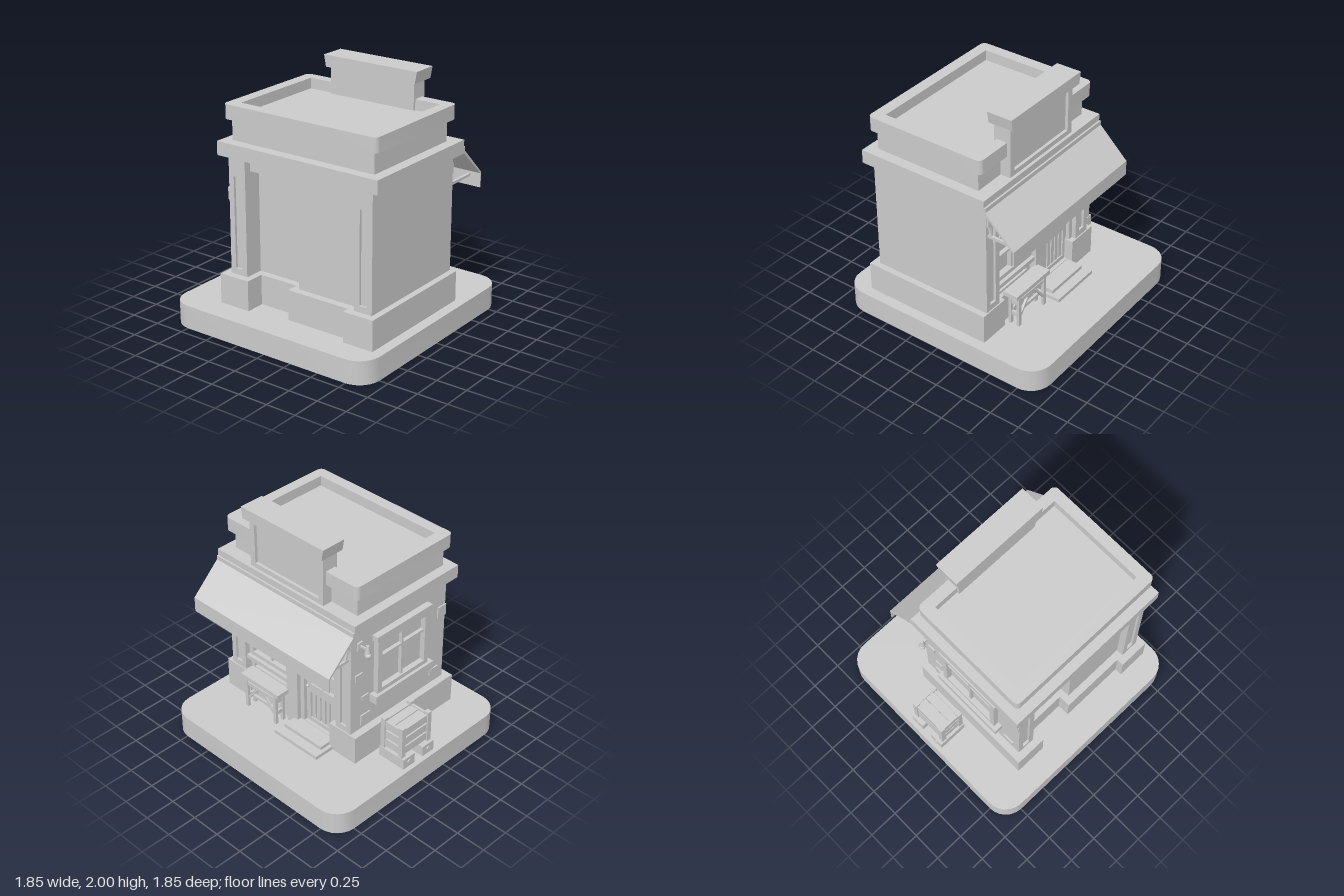
import * as THREE from 'three';
import { toCreasedNormals } from 'three/addons/utils/BufferGeometryUtils.js';

const mat = new THREE.MeshStandardMaterial({ color: 0xcccccc });
const thinMat = new THREE.MeshStandardMaterial({ color: 0xcccccc, side: THREE.DoubleSide });

export function createModel() {
  const root = new THREE.Group();
  root.name = 'cornerShop';

  const add = (name, geo, parent = root, m = mat) => {
    const mesh = new THREE.Mesh(geo, m);
    mesh.name = name;
    parent.add(mesh);
    return mesh;
  };
  const group = (name) => {
    const g = new THREE.Group();
    g.name = name;
    root.add(g);
    return g;
  };
  // Box given by its limits on each axis
  const box = (name, x0, x1, y0, y1, z0, z1, parent = root) => {
    const mesh = add(name, new THREE.BoxGeometry(x1 - x0, y1 - y0, z1 - z0), parent);
    mesh.position.set((x0 + x1) / 2, (y0 + y1) / 2, (z0 + z1) / 2);
    return mesh;
  };
  // Square bar between two points
  const bar = (name, a, b, t, parent) => {
    const p = new THREE.Vector3(...a), q = new THREE.Vector3(...b);
    const mesh = add(name, new THREE.BoxGeometry(t, t, p.distanceTo(q)), parent);
    mesh.position.copy(p).lerp(q, 0.5);
    mesh.lookAt(q);
    return mesh;
  };
  // Rectangle with optional rounded corners
  const rect = (x0, x1, y0, y1, r = 0, S = THREE.Shape) => {
    const s = new S();
    if (!r) return s.moveTo(x0, y0).lineTo(x1, y0).lineTo(x1, y1).lineTo(x0, y1).closePath();
    s.absarc(x1 - r, y0 + r, r, -Math.PI / 2, 0);
    s.absarc(x1 - r, y1 - r, r, 0, Math.PI / 2);
    s.absarc(x0 + r, y1 - r, r, Math.PI / 2, Math.PI);
    s.absarc(x0 + r, y0 + r, r, Math.PI, Math.PI * 1.5);
    return s.closePath();
  };
  // Upright frame with a rectangular opening
  const frame = (name, o, h, z0, z1, parent = root) => {
    const s = rect(...o);
    s.holes.push(rect(...h, 0, THREE.Path));
    const mesh = add(name, new THREE.ExtrudeGeometry(s, { depth: z1 - z0, bevelEnabled: false }), parent);
    mesh.position.z = z0;
    return mesh;
  };
  // Crossing glazing bars filling a rectangle
  const glazing = (x0, x1, y0, y1, cols, rows, z0, z1, parent) => {
    for (let i = 1; i < cols; i++) {
      const x = x0 + (x1 - x0) * i / cols;
      box('glazingBar', x - 0.01, x + 0.01, y0, y1, z0, z1, parent);
    }
    for (let i = 1; i < rows; i++) {
      const y = y0 + (y1 - y0) * i / rows;
      box('glazingBar', x0, x1, y - 0.01, y + 0.01, z0, z1, parent);
    }
  };

  // Rounded ground slab, hollow underneath
  let slab = new THREE.ExtrudeGeometry(rect(-0.925, 0.925, -0.925, 0.925, 0.18),
    { depth: 0.19, bevelEnabled: false, curveSegments: 3 });
  const skip = slab.groups[0].count / 2; // bottom lid comes first
  const open = new THREE.BufferGeometry();
  open.setAttribute('position', new THREE.BufferAttribute(slab.attributes.position.array.slice(skip * 3), 3));
  slab = toCreasedNormals(open, 0.7);
  add('groundSlab', slab.rotateX(-Math.PI / 2), root, thinMat);

  // Walls
  box('wallCore', -0.52, 0.79, 0.19, 1.38, -0.28, 0.5);
  box('backWall', 0.085, 0.635, 0.19, 1.38, 0.5, 0.6);
  box('backPanelHead', -0.365, 0.085, 1.27, 1.38, 0.5, 0.6);
  box('frontHead', -0.365, 0.635, 1.16, 1.38, -0.35, -0.28);

  // Corner pilasters with sunken slots and projecting plinth blocks
  for (const [x0, x1, p0, p1] of [[-0.52, -0.365, -0.58, -0.31], [0.635, 0.79, 0.58, 0.84]]) {
    const c = (x0 + x1) / 2;
    const outer = [x0, x1, 0.19, 1.38], slot = [c - 0.032, c + 0.032, 0.485, 1.225];
    box('pilaster', x0, x1, 0.19, 1.38, 0.5, 0.64);
    frame('pilasterFace', outer, slot, 0.64, 0.66);
    box('pilaster', x0, x1, 0.19, 1.38, -0.355, -0.28);
    frame('pilasterFace', outer, slot, -0.375, -0.355);
    box('plinthBlock', p0, p1, 0.19, 0.435, 0.45, 0.72);
    box('plinthBlock', p0, p1, 0.19, 0.435, -0.385, -0.22);
  }
  box('plinthSide', -0.58, -0.5, 0.19, 0.435, -0.3, 0.5);
  box('plinthSide', 0.77, 0.84, 0.19, 0.435, -0.3, 0.5);
  box('plinthBack', 0.03, 0.58, 0.19, 0.435, 0.5, 0.66);
  box('plinthBackRecess', -0.31, 0.03, 0.19, 0.435, 0.48, 0.56);
  box('plinthUnderWindow', 0.08, 0.58, 0.19, 0.435, -0.35, -0.28);

  // Cornice, attic and parapet
  box('cornice', -0.59, 0.86, 1.38, 1.49, -0.41, 0.705);
  box('awningRail', -0.59, 0.86, 1.38, 1.435, -0.425, -0.4);
  box('attic', -0.51, 0.775, 1.49, 1.69, -0.3, 0.62);
  const ring = rect(-0.555, 0.82, -0.665, 0.355, 0.04);
  ring.holes.push(rect(-0.46, 0.73, -0.57, 0.265, 0, THREE.Path));
  const parapet = add('parapet', toCreasedNormals(new THREE.ExtrudeGeometry(ring,
    { depth: 0.115, bevelEnabled: false, curveSegments: 4 }), 0.6));
  parapet.rotation.x = -Math.PI / 2;
  parapet.position.y = 1.66;

  // Blank sign board with flared cap
  const sign = group('signBoard');
  box('signCore', -0.25, 0.515, 1.49, 1.905, -0.36, -0.245, sign);
  frame('signFrame', [-0.25, 0.515, 1.49, 1.905], [-0.2, 0.465, 1.53, 1.865], -0.385, -0.36, sign);
  const capShape = new THREE.Shape([[-0.275, 1.905], [0.54, 1.905], [0.557, 2], [-0.292, 2]]
    .map((p) => new THREE.Vector2(...p)));
  add('signCap', new THREE.ExtrudeGeometry(capShape, { depth: 0.21, bevelEnabled: false }), sign).position.z = -0.425;

  // Awning with hanging valance and side arms
  const awning = group('awning');
  const edge = new THREE.Shape([[0.41, 1.4], [0.425, 1.4], [0.67, 1.165], [0.67, 1.04], [0.66, 1.04], [0.66, 1.155], [0.41, 1.385]]
    .map((p) => new THREE.Vector2(...p)));
  const cloth = add('awningCloth', new THREE.ExtrudeGeometry(edge, { depth: 1.45, bevelEnabled: false }), awning, thinMat);
  cloth.rotation.y = Math.PI / 2;
  cloth.position.x = -0.59;
  for (const x of [-0.49, 0.76]) {
    bar('awningArm', [x, 1.125, -0.37], [x, 1.125, -0.66], 0.022, awning);
    bar('awningStay', [x, 1.24, -0.375], [x, 1.13, -0.4], 0.016, awning);
    box('awningBracket', x - 0.025, x + 0.025, 1.215, 1.3, -0.395, -0.37, awning);
  }

  // Shop window and its sill
  const shopWindow = group('shopWindow');
  frame('shopWindowFrame', [0.17, 0.635, 0.56, 1.16], [0.215, 0.59, 0.61, 1.12], -0.33, -0.28, shopWindow);
  glazing(0.215, 0.59, 0.61, 1.12, 2, 3, -0.315, -0.28, shopWindow);
  box('shopWindowSill', 0.16, 0.635, 0.54, 0.575, -0.36, -0.28, shopWindow);
  frame('apronPanel', [0.17, 0.635, 0.435, 0.54], [0.21, 0.595, 0.455, 0.52], -0.315, -0.28, shopWindow);
  box('doorPost', 0.05, 0.17, 0.19, 1.38, -0.375, -0.28);

  // Door with glazed top and planked lower panel
  const door = group('door');
  frame('doorFrame', [-0.365, 0.05, 0.25, 1.16], [-0.325, 0.01, 0.255, 1.12], -0.34, -0.28, door);
  frame('doorUpper', [-0.325, 0.01, 0.57, 1.12], [-0.285, -0.03, 0.62, 1.08], -0.31, -0.28, door);
  glazing(-0.285, -0.03, 0.62, 1.08, 2, 3, -0.305, -0.28, door);
  frame('doorLower', [-0.325, 0.01, 0.25, 0.57], [-0.285, -0.03, 0.29, 0.54], -0.31, -0.28, door);
  for (let i = 0; i < 5; i++) {
    const x = -0.278 + i * 0.051;
    box('doorPlank', x, x + 0.036, 0.29, 0.54, -0.3, -0.28, door);
  }
  const knob = add('doorKnob', new THREE.SphereGeometry(0.014, 10, 8), door);
  knob.position.set(-0.015, 0.6, -0.325);
  box('lowerStep', -0.34, 0.12, 0.19, 0.22, -0.56, -0.28);
  box('upperStep', -0.31, 0.09, 0.22, 0.25, -0.48, -0.28);

  // Side window, framed in local x then turned to face -x
  const side = group('sideWindow');
  frame('sideWindowFrame', [-0.28, 0.28, 0.715, 1.2], [-0.235, 0.235, 0.75, 1.165], 0, 0.045, side);
  glazing(-0.235, 0.235, 0.75, 1.165, 2, 1, 0, 0.03, side);
  box('glazingBar', -0.235, 0.235, 1.02, 1.04, 0, 0.03, side);
  box('sideWindowSill', -0.32, 0.32, 0.645, 0.715, 0, 0.07, side);
  box('sideWindowLintel', -0.3, 0.3, 1.2, 1.25, 0, 0.055, side);
  side.rotation.y = -Math.PI / 2;
  side.position.set(-0.52, 0, 0.15);

  // Exposed bricks on the side wall
  for (const [y, z, h, w] of [[0.47, -0.27, 0.09, 0.1], [0.91, -0.33, 0.06, 0.07], [0.7, -0.26, 0.04, 0.07],
    [1.03, 0.57, 0.1, 0.09], [0.52, 0.5, 0.05, 0.1]]) {
    box('exposedBrick', -0.532, -0.5, y, y + h, z, z + w);
  }

  // Wall lamp
  const lamp = group('wallLamp');
  box('lampMount', -0.535, -0.515, 1.19, 1.26, -0.315, -0.265, lamp);
  bar('lampArm', [-0.52, 1.23, -0.29], [-0.605, 1.235, -0.29], 0.014, lamp);
  add('lampShade', new THREE.CylinderGeometry(0.012, 0.024, 0.07, 12), lamp).position.set(-0.605, 1.235, -0.29);
  add('lampBulb', new THREE.SphereGeometry(0.027, 14, 10), lamp).position.set(-0.61, 1.185, -0.29);

  // Bench by the shop window
  const bench = group('bench');
  box('benchSeat', 0.15, 0.57, 0.46, 0.495, -0.49, -0.36, bench);
  for (const z of [-0.47, -0.395]) {
    for (const x of [0.2, 0.52]) box('benchLeg', x - 0.015, x + 0.015, 0.19, 0.46, z - 0.012, z + 0.012, bench);
    box('benchApron', 0.2, 0.52, 0.405, 0.435, z - 0.008, z + 0.008, bench);
    for (const s of [-1, 1]) bar('benchBrace', [0.36 + s * 0.16, 0.26, z], [0.36 + s * 0.04, 0.41, z], 0.018, bench);
  }
  for (const x of [0.2, 0.52]) {
    for (const y of [0.27, 0.38]) box('benchRung', x - 0.01, x + 0.01, y, y + 0.035, -0.47, -0.395, bench);
  }
  box('benchStretcher', 0.2, 0.52, 0.27, 0.295, -0.442, -0.422, bench);

  // Slatted crate standing on two bearers
  const crate = group('crate');
  for (const [z0, z1] of [[-0.18, -0.055], [0.035, 0.16]]) {
    box('crateBearer', -0.89, -0.64, 0.195, 0.285, z0, z1, crate);
    for (const x of [-0.892, -0.638]) {
      const peg = add('bearerPeg', new THREE.CylinderGeometry(0.02, 0.02, 0.012, 12), crate);
      peg.rotation.z = Math.PI / 2;
      peg.position.set(x, 0.24, (z0 + z1) / 2);
    }
  }
  for (const x of [-0.845, -0.665]) {
    for (const z of [-0.155, 0.13]) box('cratePost', x - 0.02, x + 0.02, 0.28, 0.56, z - 0.02, z + 0.02, crate);
  }
  for (const y of [0.3, 0.385, 0.47]) {
    for (const z of [-0.155, 0.13]) box('crateSlat', -0.84, -0.67, y, y + 0.068, z - 0.01, z + 0.01, crate);
    for (const x of [-0.845, -0.665]) box('crateSlat', x - 0.01, x + 0.01, y, y + 0.068, -0.15, 0.125, crate);
  }
  for (let i = 0; i < 2; i++) box('crateLid', -0.835 + i * 0.084, -0.759 + i * 0.084, 0.5, 0.525, -0.145, 0.12, crate);

  return root;
}
